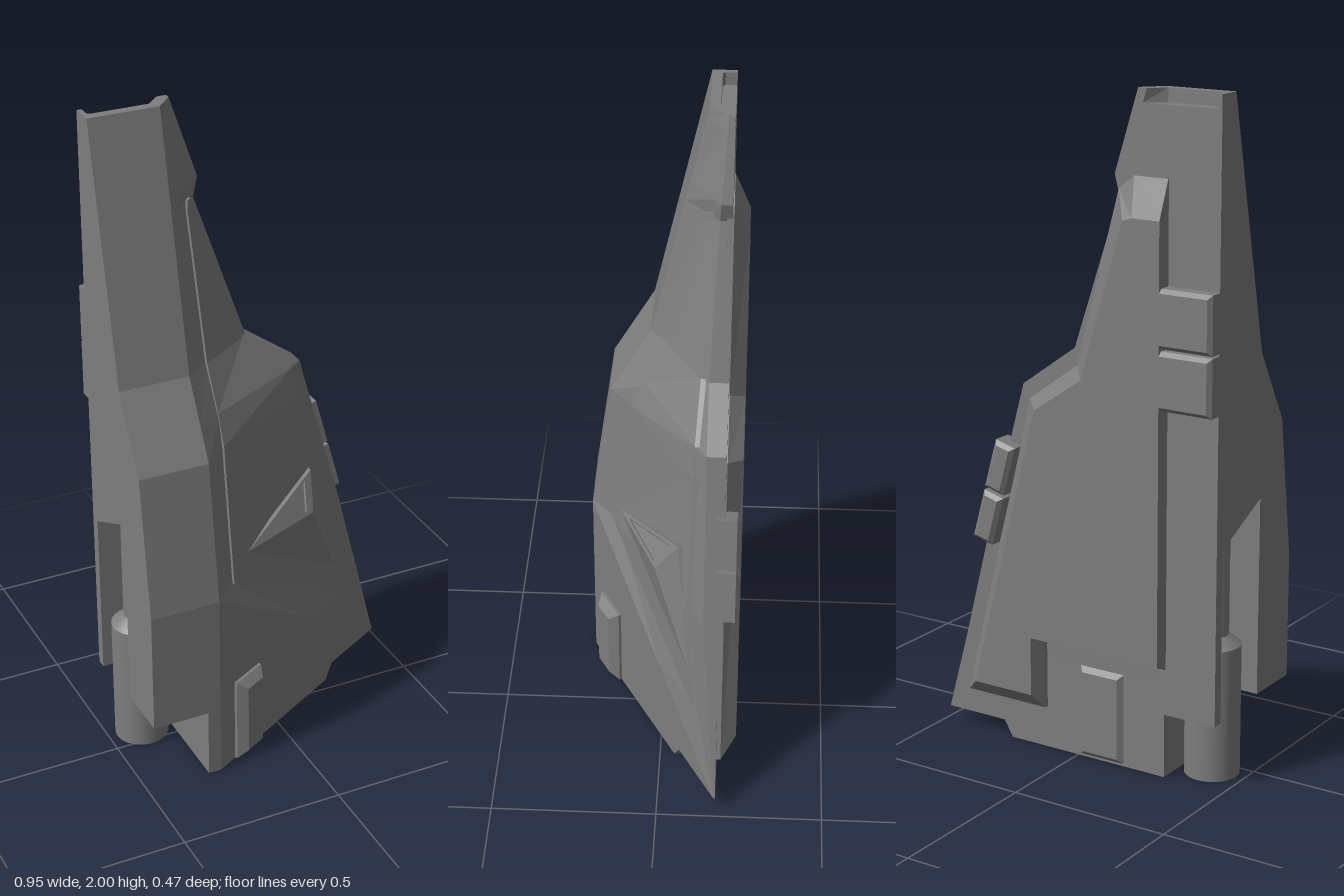
import * as THREE from 'three';

const GREY = 0x7e7e7e;
const flat = new THREE.MeshStandardMaterial({ color: GREY, flatShading: true });
const smooth = new THREE.MeshStandardMaterial({ color: GREY });

// Closed solid through rings of [x, y, z] corners; u and v are the axes in which the end caps lie
function loft(rings, u, v) {
  const tris = [];
  const push = (a, b, c) => {
    const A = new THREE.Vector3(...a), B = new THREE.Vector3(...b), C = new THREE.Vector3(...c);
    const area = B.clone().sub(A).cross(C.clone().sub(A)).length();
    if (area > 1e-7) tris.push([A, B, C]);
  };
  const n = rings[0].length;
  for (let i = 0; i < rings.length - 1; i++) {
    for (let j = 0; j < n; j++) {
      const k = (j + 1) % n, a = rings[i], b = rings[i + 1];
      push(a[j], a[k], b[k]);
      push(a[j], b[k], b[j]);
    }
  }
  [rings[0], rings[rings.length - 1]].forEach((ring, end) => {
    const pts = ring.map(p => new THREE.Vector2(p[u], p[v]));
    const sign = Math.sign(THREE.ShapeUtils.area(pts));
    for (const f of THREE.ShapeUtils.triangulateShape(pts.slice(), [])) {
      const same = Math.sign(THREE.ShapeUtils.area(f.map(i => pts[i]))) === sign;
      const [a, b, c] = f.map(i => ring[i]);
      if (same === (end === 1)) push(a, b, c); else push(a, c, b);
    }
  });
  // Turn all faces outward
  const volume = tris.reduce((s, [a, b, c]) => s + a.dot(b.clone().cross(c)), 0);
  const pos = tris.flatMap(([a, b, c]) => (volume > 0 ? [a, b, c] : [a, c, b]).flatMap(p => p.toArray()));
  const g = new THREE.BufferGeometry();
  g.setAttribute('position', new THREE.Float32BufferAttribute(pos, 3));
  g.computeVertexNormals();
  return g;
}

// Value at y from a list of [y, value] pairs
function at(table, y) {
  let i = 0;
  while (i < table.length - 2 && y > table[i + 1][0]) i++;
  const [y0, v0] = table[i], [y1, v1] = table[i + 1];
  return v0 + (v1 - v0) * (y - y0) / (y1 - y0);
}

// Hull curves over height: front face, outer edge and its depth, crease position and its sinking
const frontZ = [[0, 0.235], [0.6, 0.235], [1.03, 0.175], [1.25, 0.05], [2, -0.115]];
const edgeX = [[0.05, 0.475], [1.12, 0.18], [1.25, 0], [1.7, -0.15], [1.76, -0.135], [2, -0.21]];
const edgeZ = [[0.05, -0.172], [0.6, -0.13], [1.25, -0.13], [1.7, -0.15], [2, -0.17]];
const creaseT = [[0.05, 1], [0.29, 0.69], [0.6, 0.137], [1.03, 0.172], [1.25, 0.31], [1.7, 0.73], [2, 0.9]];
const creaseDrop = [[0.05, 0], [0.29, 0.01], [0.6, 0.028], [1.03, 0.028], [1.25, 0.01], [2, 0]];
const BACK = -0.187, SHOULDER = -0.26, SPLIT = -0.3, CUT = -0.475, TOP = 1.96;

// Slanted front: shoulder, diagonal ridge, crease along the plate, outer edge
function slope(y) {
  const s = Math.max(0, (0.6 - y) / 0.55), z = at(frontZ, y), t = at(creaseT, y);
  const ridge = [SHOULDER + 0.735 * s, z - 0.407 * s], edge = [at(edgeX, y), at(edgeZ, y)];
  const crease = ridge.map((v, i) => v + (edge[i] - v) * t);
  crease[1] -= at(creaseDrop, y);
  return [[SHOULDER, z], ridge, crease, edge];
}
const surfaceZ = (x, y) => at(slope(y).slice(2), x);

// Block with a bevelled outer face towards +z
function block(w, h, d, bevel) {
  const ring = (b, z) => [[-1, -1], [1, -1], [1, 1], [-1, 1]]
    .map(([i, j]) => [i * (w / 2 - b), j * (h / 2 - b), z]);
  return loft([ring(0, -d / 2), ring(0, d / 2 - bevel), ring(bevel, d / 2)], 0, 1);
}

export function createModel() {
  const root = new THREE.Group();
  const add = (name, geometry, x = 0, y = 0, z = 0, material = flat) => {
    const m = new THREE.Mesh(geometry, material);
    m.name = name;
    m.position.set(x, y, z);
    root.add(m);
    return m;
  };

  // Main hull with stepped foot
  const hullRing = (y, pts) => {
    const back = y < 0.3 ? -0.177 : BACK;
    return [[SPLIT, y, at(frontZ, y)], ...pts.map(([x, z]) => [x, y, z]), [pts[3][0], y, back], [SPLIT, y, back]];
  };
  const foot = (y, x, z) => hullRing(y, [[SHOULDER, 0.235], [x, z], [x, -0.08], [x, -0.12]]);
  add('hull', loft([
    foot(0, 0.24, -0.044), foot(0.05, 0.27, -0.061),
    ...[0.05, 0.29, 0.6, 1.03, 1.12, 1.25, 1.7, 1.76, TOP].map(y => hullRing(y, slope(y)))
  ], 0, 2));

  // Inner strip along the flat side, with the cavity for the thruster
  const stripProfile = [[BACK, 0.2], [BACK, TOP], [at(frontZ, TOP), TOP], [0.05, 1.25], [0.175, 1.03], [0.235, 0.6],
    [0.235, 0.22], [0.055, 0.22], [0.055, 0.82], [-0.155, 0.72], [-0.155, 0.2]];
  add('innerStrip', loft([CUT, SPLIT].map(x => stripProfile.map(([z, y]) => [x, y, z])), 2, 1));

  // Rim around the sunken top, open to the rear
  add('topRim', loft([TOP, 2].map(y => {
    const [shoulder, , crease, edge] = slope(y);
    return [[CUT, y, BACK], [CUT, y, shoulder[1]], ...[shoulder, crease, edge].map(([x, z]) => [x, y, z]),
      [edge[0], y, BACK], [edge[0] - 0.028, y, BACK], [-0.28, y, -0.145], [-0.452, y, -0.145],
      [-0.46, y, -0.153], [-0.46, y, BACK]];
  }), 0, 2));

  // Raised armour plate following the slanted front
  const plateRows = [[0.295, 0.31, 0.335], [0.6, -0.18, 0.255], [1.03, -0.18, 0.16], [1.12, -0.18, 0.135],
    [1.25, -0.18, -0.02], [1.69, -0.188, -0.166], [1.71, -0.184, -0.172]];
  add('frontPlate', loft(plateRows.map(([y, l, r]) => {
    const zl = surfaceZ(l, y), zr = surfaceZ(r, y);
    return [[l - 0.006, y, zl - 0.02], [l, y, zl + 0.012], [r, y, zr + 0.012], [r + 0.006, y, zr - 0.02]];
  }), 0, 2));

  // Scoop: a pyramid on the plate whose upper face is framed and slightly sunk
  const [p1, p2, p3, apex, base] = [[-0.12, 0.68, 0.138], [0.18, 0.785, -0.05], [0.285, 0.4, -0.085],
    [0.155, 0.68, 0.02], [0.18, 0.785, -0.09]].map(p => new THREE.Vector3(...p));
  const mid = new THREE.Vector3().add(p1).add(p2).add(apex).divideScalar(3);
  const mouth = [p1, apex, p2];
  const inner = mouth.map(p => p.clone().lerp(mid, 0.3));
  const sunk = inner.map(p => p.clone().add(new THREE.Vector3(-0.003, -0.008, -0.004)));
  const scoopTris = [p1, p3, apex, apex, p3, p2, p1, p2, base, p2, p3, base];
  for (let i = 0; i < 3; i++) {
    const j = (i + 1) % 3;
    scoopTris.push(mouth[i], mouth[j], inner[j], mouth[i], inner[j], inner[i]);
    scoopTris.push(inner[i], inner[j], sunk[j], inner[i], sunk[j], sunk[i]);
  }
  scoopTris.push(...sunk);
  const scoop = new THREE.BufferGeometry().setFromPoints(scoopTris);
  scoop.computeVertexNormals();
  const scoopMaterial = flat.clone();
  scoopMaterial.side = THREE.DoubleSide;
  add('scoop', scoop, 0, 0, 0, scoopMaterial);

  // Raised rear panel with sloped borders
  const outer = [[-0.31, 0.34], [0.11, 0.34], [0.11, 0.13], [0.39, 0.13], [0.155, 1.08],
    [-0.01, 1.2], [-0.15, 1.72], [-0.2, 1.76], [-0.31, 1.76]];
  const top = [[-0.31, 0.36], [0.13, 0.36], [0.13, 0.18], [0.335, 0.18], [0.11, 1.06],
    [-0.05, 1.17], [-0.19, 1.64], [-0.22, 1.65], [-0.31, 1.65]];
  add('rearPanel', loft([[outer, -0.17], [outer, -0.19], [top, -0.235]]
    .map(([pts, z]) => pts.map(([x, y]) => [x, y, z])), 0, 1));

  // Paired rear blocks by the flat side, and paired clamps on the outer edge
  for (const s of [-1, 1]) {
    add('rearBlock', block(0.225, 0.17, 0.07, 0.012), -0.3625, 1.29 + s * 0.088, -0.2).rotation.y = Math.PI;
    const clamp = add('edgeClamp', block(0.07, 0.155, 0.072, 0.012), 0.264 - s * 0.022, 0.785 + s * 0.08, -0.199);
    clamp.rotation.set(0, Math.PI, 0.27, 'ZYX');
  }

  // Foot blocks at front and rear
  add('frontFoot', block(0.125, 0.275, 0.09, 0.025), -0.148, 0.14, 0.16).rotation.y = 0.51;
  add('rearFoot', block(0.16, 0.29, 0.06, 0.02), -0.085, 0.147, -0.162).rotation.y = Math.PI;

  // Thruster tube and its rod inside the cavity
  add('thruster', new THREE.CylinderGeometry(0.082, 0.082, 0.4, 32), -0.393, 0.2, -0.06, smooth);
  add('thrusterCollar', new THREE.CylinderGeometry(0.045, 0.082, 0.03, 32), -0.393, 0.415, -0.06, smooth);
  add('thrusterRod', new THREE.CylinderGeometry(0.045, 0.045, 0.34, 24), -0.393, 0.59, -0.06, smooth);

  return root;
}
